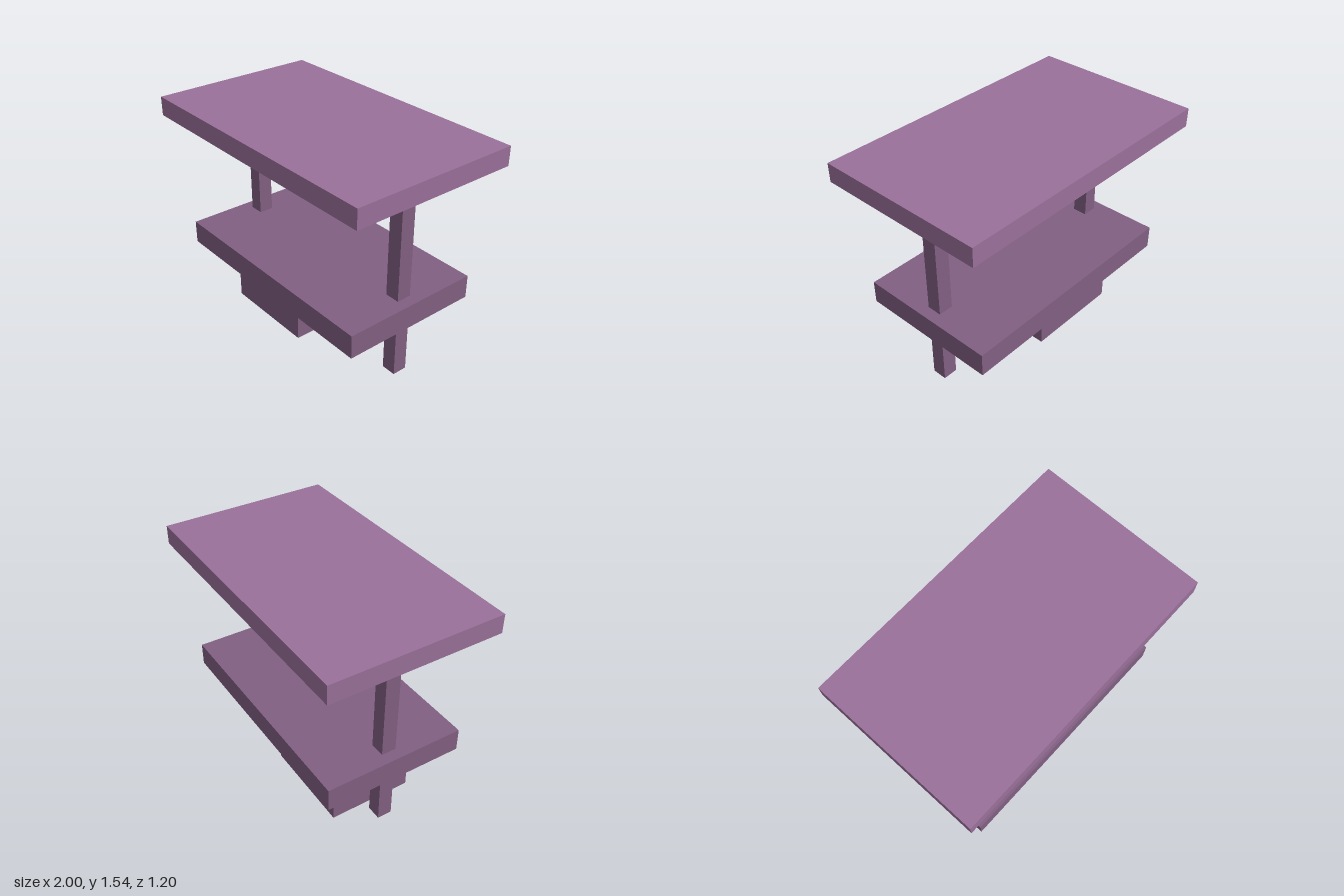
import * as THREE from 'three';

export function createModel() {
  const group = new THREE.Group();
  const light = new THREE.MeshStandardMaterial({ color: 0x9b719b });
  const dark = new THREE.MeshStandardMaterial({ color: 0x826082 });

  // Box given by its extents in x and y, and its depth centred on z = 0
  function addBox(name, x0, x1, y0, y1, depth, material) {
    const mesh = new THREE.Mesh(new THREE.BoxGeometry(x1 - x0, y1 - y0, depth), material);
    mesh.position.set((x0 + x1) / 2, (y0 + y1) / 2, 0);
    mesh.name = name;
    group.add(mesh);
  }

  // Slabs
  addBox('tableTop', -1, 1, 1.405, 1.537, 1.2, light);
  addBox('lowerShelf', -0.865, 0.865, 0.425, 0.59, 1.0, dark);

  // Off-centre block under the shelf
  addBox('baseBlock', -0.62, 0.08, 0, 0.425, 0.6, dark);

  // Posts running through the shelf up to the top
  for (const [name, x] of [['leftPost', 0.733], ['rightPost', -0.733]]) {
    addBox(name, x - 0.052, x + 0.052, 0.008, 1.405, 0.104, dark);
  }

  return group;
}
